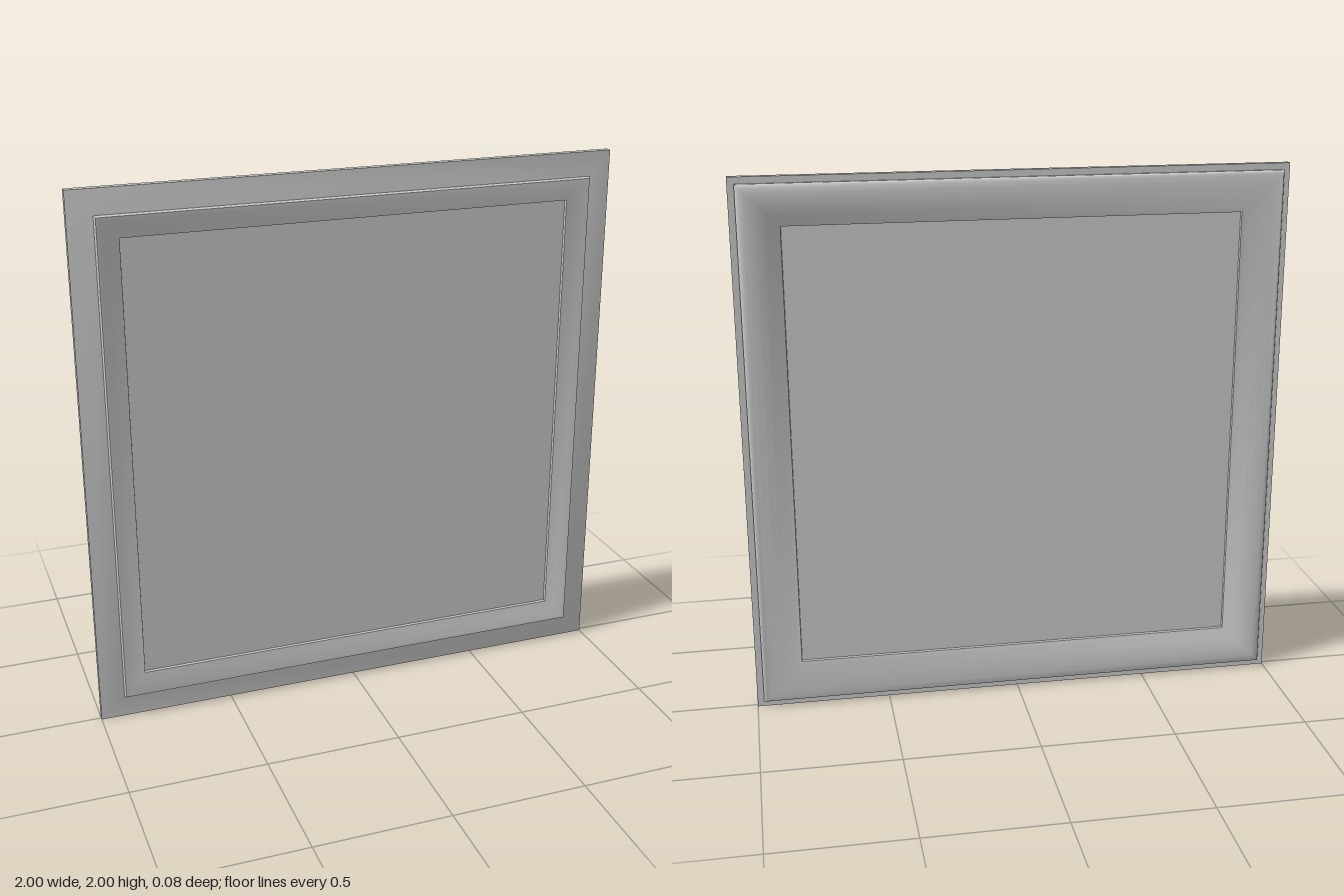
import * as THREE from 'three';
import { toCreasedNormals } from 'three/addons/utils/BufferGeometryUtils.js';

const material = new THREE.MeshStandardMaterial({ color: 0xcccccc });

// Mitred square ring: [half width, z] profile turned around z in four segments
function squareRing(name, profile, crease) {
  const points = profile.map(([r, z]) => new THREE.Vector2(r * Math.SQRT2, z));
  const ring = new THREE.LatheGeometry(points, 4, Math.PI / 4);
  ring.rotateX(Math.PI / 2);
  const mesh = new THREE.Mesh(toCreasedNormals(ring, crease), material);
  mesh.name = name;
  mesh.position.y = 1;
  return mesh;
}

export function createModel() {
  const model = new THREE.Group();
  model.name = 'framedPanel';

  // Thin outer flange, sloping up to a raised lip that dips toward the panel
  model.add(squareRing('frontFrame', [
    [0.97, -0.014], [1, -0.014], [1, 0.012], [0.912, 0.028],
    [0.907, 0.04], [0.895, 0.039], [0.86, 0.027], [0.828, 0.02], [0.825, 0.006],
  ], 0.6));

  // Rounded moulding on the back, rolling down to the panel
  model.add(squareRing('backMoulding', [
    [0.825, -0.002], [0.827, -0.014], [0.845, -0.02], [0.87, -0.029], [0.895, -0.036],
    [0.92, -0.04], [0.945, -0.041], [0.963, -0.039], [0.972, -0.034],
    [0.976, -0.026], [0.976, -0.012],
  ], 0.75));

  // Flat centre panel
  const panel = new THREE.Mesh(new THREE.BoxGeometry(1.66, 1.66, 0.014), material);
  panel.name = 'panel';
  panel.position.set(0, 1, 0.003);
  model.add(panel);

  return model;
}
